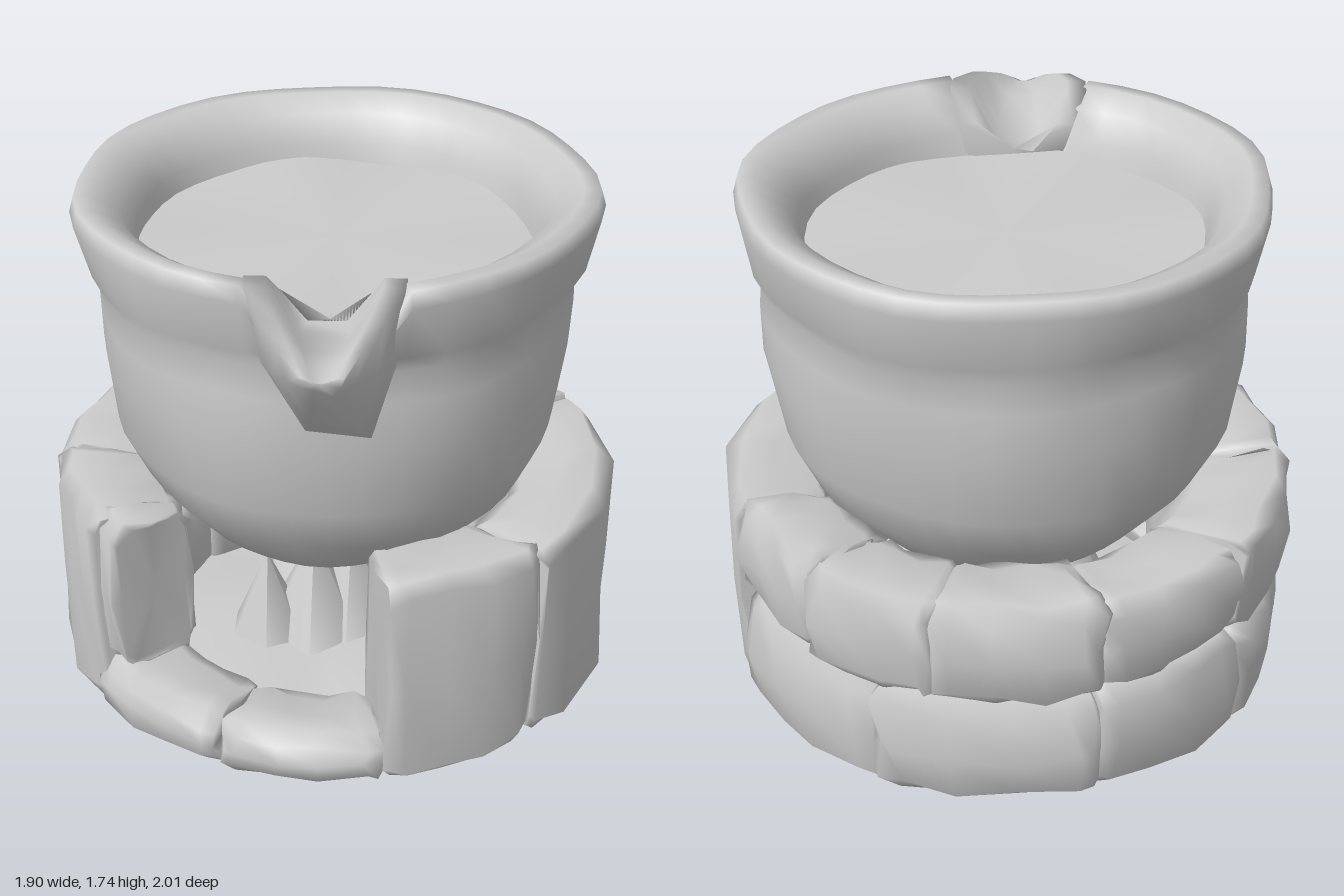
import * as THREE from 'three';
import { mergeVertices } from 'three/addons/utils/BufferGeometryUtils.js';

const material = new THREE.MeshStandardMaterial({ color: 0xcccccc, side: THREE.DoubleSide });
const rad = THREE.MathUtils.degToRad;
const HEARTH_Z = -0.09;
const POT_Z = -0.07;

// Repeatable noise in -1..1
function noise(n) {
  const s = Math.sin(n * 127.1 + 3.7) * 43758.5453;
  return (s - Math.floor(s)) * 2 - 1;
}

function addMesh(parent, geometry, name) {
  const mesh = new THREE.Mesh(geometry, material);
  mesh.name = name;
  parent.add(mesh);
  return mesh;
}

function lathe(points, segments) {
  return new THREE.LatheGeometry(points.map(([x, y]) => new THREE.Vector2(x, y)), segments);
}

// Welds, moves every vertex by a rule, then smooths
function sculpt(geometry, rule) {
  geometry.deleteAttribute('uv');
  geometry.deleteAttribute('normal');
  const g = mergeVertices(geometry, 1e-4);
  const p = g.attributes.position;
  const v = new THREE.Vector3();
  for (let i = 0; i < p.count; i++) {
    rule(v.fromBufferAttribute(p, i));
    p.setXYZ(i, v.x, v.y, v.z);
  }
  g.computeVertexNormals();
  return g;
}

// Skins a row of equal loops; both ends are closed with fans
function skin(loops) {
  const n = loops[0].length;
  const pos = loops.flat(2);
  const idx = [];
  for (let i = 0; i < loops.length - 1; i++) {
    for (let j = 0; j < n; j++) {
      const a = i * n + j, d = i * n + (j + 1) % n;
      idx.push(a, a + n, d, a + n, d + n, d);
    }
  }
  const last = loops.length - 1;
  [0, last].forEach((row, end) => {
    const c = pos.length / 3;
    for (let k = 0; k < 3; k++) pos.push(loops[row].reduce((s, q) => s + q[k], 0) / n);
    for (let j = 0; j < n; j++) {
      const a = row * n + j, b = row * n + (j + 1) % n;
      if (end) idx.push(c, b, a); else idx.push(c, a, b);
    }
  });
  const g = new THREE.BufferGeometry();
  g.setAttribute('position', new THREE.Float32BufferAttribute(pos, 3));
  g.setIndex(idx);
  g.computeVertexNormals();
  return g;
}

// Chipped block following the ring; angles in degrees from the front towards +x
function stone(a0, a1, r0, r1, y0, y1, seed) {
  const b = 0.045, ym = (y0 + y1) / 2, rm = (r0 + r1) / 2;
  const section = [
    [r1 - b, y0], [r1, y0 + b], [r1 + 0.01, ym], [r1, y1 - b], [r1 - b, y1], [rm, y1 - 0.025],
    [r0 + b, y1 - 0.04], [r0, y1 - b - 0.03], [r0, ym], [r0, y0 + b], [r0 + b, y0], [rm, y0],
  ];
  const loops = [0, 0.02, 0.12, 0.37, 0.63, 0.88, 0.98, 1].map((t, i) => {
    const k = [0.84, 0.95, 1, 1, 1, 1, 0.95, 0.84][i];
    return section.map(([r, y], j) => {
      const q = seed * 97 + i * 13 + j;
      const a = rad(a0 + (a1 - a0) * t + noise(q + 20) * 1.2);
      const rr = rm + (r - rm) * k + noise(q) * 0.02;
      const yy = Math.max(0, ym + (y - ym) * (k * 0.5 + 0.5) + (y > y0 ? noise(q + 50) * 0.012 : 0));
      return [Math.sin(a) * rr * 1.045, yy, HEARTH_Z + Math.cos(a) * rr];
    });
  });
  return skin(loops);
}

function createCauldron() {
  const group = new THREE.Group();
  group.name = 'cauldron';

  // Round belly, flared rim and inner wall
  const pot = sculpt(lathe([
    [0, 0.47], [0.25, 0.5], [0.5, 0.61], [0.645, 0.78], [0.725, 0.95], [0.76, 1.2], [0.762, 1.36],
    [0.755, 1.46], [0.79, 1.52], [0.825, 1.69], [0.81, 1.74], [0.76, 1.74], [0.68, 1.69], [0.635, 1.6], [0.615, 1.5],
  ], 42), (v) => {
    const a = Math.atan2(v.x, v.z);
    const r = Math.hypot(v.x, v.z);
    const dent = 1 + 0.01 * Math.sin(a * 5 + v.y * 4) + 0.006 * Math.sin(a * 9 - v.y * 7);
    v.x *= dent;
    v.z *= dent;
    // Pouring notch through the rim
    if (r > 0.5 && v.y > 1.53 && Math.abs(a) < 0.16) v.y = 1.53;
    v.z += POT_Z;
  });
  addMesh(group, pot, 'pot');

  // Contents, slightly wavy
  const surface = sculpt(new THREE.CircleGeometry(0.645, 28).rotateX(-Math.PI / 2), (v) => {
    v.y = 1.54 + 0.015 * Math.sin(v.x * 9 + v.z * 5);
    v.z += POT_Z;
  });
  addMesh(group, surface, 'liquid');

  // Spout sections: z, half width, lip height, channel height, underside height
  const sections = [
    [0.53, 0.19, 1.65, 1.55, 1.4], [0.62, 0.23, 1.735, 1.56, 1.28], [0.69, 0.225, 1.74, 1.575, 1.255],
    [0.84, 0.17, 1.705, 1.62, 1.38], [0.93, 0.11, 1.665, 1.62, 1.48], [1.0, 0.065, 1.625, 1.61, 1.57],
  ];
  const loops = sections.map(([z, w, top, channel, under]) => [
    [-w * 0.72, top, z], [-w * 0.3, channel, z], [w * 0.3, channel, z], [w * 0.72, top, z], [w, top, z],
    [w * 0.9, (top + under) / 2, z], [w * 0.6, under, z], [-w * 0.25, under + 0.02, z],
    [-w * 0.8, (top + under) / 2, z], [-w, top, z],
  ]);
  addMesh(group, skin(loops.reverse()), 'spout');
  return group;
}

function createHearth() {
  const group = new THREE.Group();
  group.name = 'hearth';

  // Stones: start, end, inner radius, outer radius, bottom, top
  const stones = [
    // tall stones beside the opening and along +x
    [12, 47, 0.56, 0.89, 0, 0.77], [47, 116, 0.57, 0.905, 0, 0.755],
    // lower course round the back
    [116, 158, 0.52, 0.89, 0, 0.42], [157, 202, 0.52, 0.9, 0, 0.4],
    [201, 237, 0.52, 0.89, 0, 0.41], [236, 274, 0.53, 0.9, 0, 0.4],
    // upper course round the back
    [115, 143, 0.56, 0.88, 0.41, 0.77], [142, 170, 0.56, 0.89, 0.39, 0.76], [169, 203, 0.56, 0.89, 0.39, 0.76],
    [202, 237, 0.56, 0.88, 0.4, 0.74], [236, 274, 0.56, 0.9, 0.39, 0.76],
    // pillar at the other side of the opening
    [273, 305, 0.57, 0.9, 0, 0.77], [302, 311, 0.58, 0.86, 0.19, 0.76],
    // low slabs in front of the fire
    [303, 338, 0.6, 0.89, 0, 0.21], [338, 372, 0.58, 0.89, 0, 0.2],
  ];
  stones.forEach((s, i) => addMesh(group, stone(...s, i + 1), 'stone' + (i + 1)));

  // Uneven ground slab under the fire
  const base = sculpt(lathe([
    [0, 0.03], [0.3, 0.03], [0.55, 0.025], [0.84, 0.02], [0.8, 0.06], [0.4, 0.08], [0, 0.08],
  ], 20), (v) => {
    v.y = Math.max(0.002, v.y + 0.02 * Math.sin(v.x * 11 + v.z * 7) * Math.cos(v.z * 9));
    v.z += HEARTH_Z;
  });
  addMesh(group, base, 'base');
  return group;
}

function createFire() {
  const group = new THREE.Group();
  group.name = 'fire';

  // Pointed flames: x, z, radius, height
  const flames = [
    [-0.23, 0.06, 0.16, 0.37], [-0.07, 0.02, 0.21, 0.43], [0.06, -0.02, 0.2, 0.44],
    [-0.13, -0.24, 0.18, 0.36], [0.1, -0.25, 0.17, 0.34],
  ];
  flames.forEach(([x, z, r, h], i) => {
    const flame = addMesh(group, new THREE.ConeGeometry(r, h, 6), 'flame' + (i + 1));
    flame.position.set(x, 0.03 + h / 2, z);
    flame.rotation.y = i;
  });
  return group;
}

export function createModel() {
  const model = new THREE.Group();
  model.name = 'cauldronOnHearth';
  model.add(createCauldron(), createHearth(), createFire());
  return model;
}
